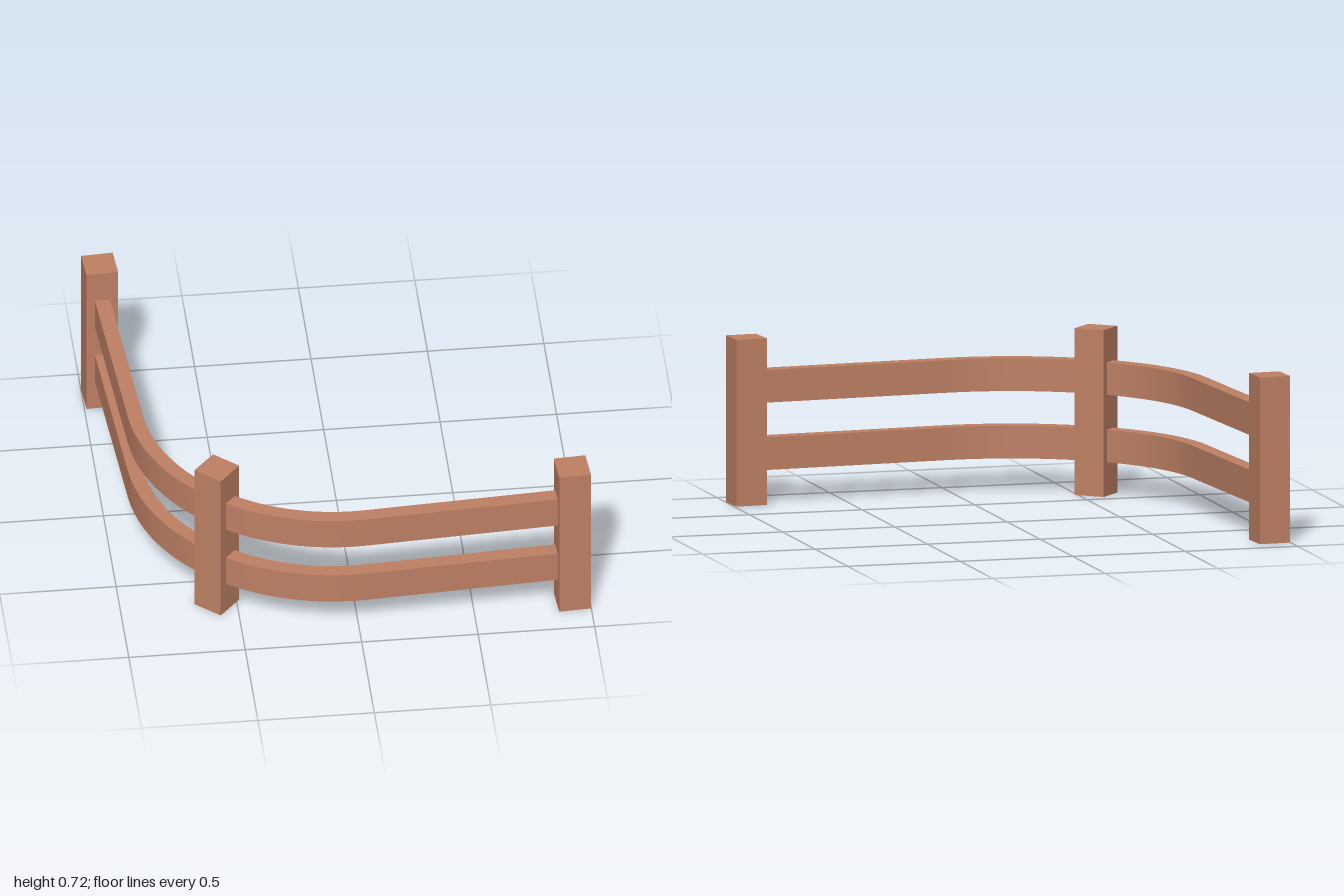
import * as THREE from 'three';
import { toCreasedNormals } from 'three/addons/utils/BufferGeometryUtils.js';

const R = 0.85;       // bend radius at the rail's centre line
const LEG = 0.896;    // straight run from bend to end post
const POST = 0.137, POST_H = 0.72;
const RAIL_W = 0.065, RAIL_H = 0.141;

// Quarter-bend rail with two straight legs, drawn in plan and extruded upward
function railGeometry() {
  const ro = R + RAIL_W / 2, ri = R - RAIL_W / 2;
  const plan = new THREE.Shape();
  plan.moveTo(LEG, -ro);
  plan.lineTo(0, -ro);
  plan.absarc(0, 0, ro, -Math.PI / 2, -Math.PI, true);
  plan.lineTo(-ro, LEG);
  plan.lineTo(-ri, LEG);
  plan.lineTo(-ri, 0);
  plan.absarc(0, 0, ri, -Math.PI, -Math.PI / 2, false);
  plan.lineTo(LEG, -ri);
  plan.closePath();
  const geo = new THREE.ExtrudeGeometry(plan, { depth: RAIL_H, bevelEnabled: false, curveSegments: 12 });
  geo.rotateX(-Math.PI / 2);
  return toCreasedNormals(geo, 0.5);
}

export function createModel() {
  const model = new THREE.Group();
  model.name = 'curvedFence';
  const wood = new THREE.MeshStandardMaterial({ color: 0xbe8064 });
  wood.name = 'wood';

  // The fence is laid out square, then turned slightly
  const fence = new THREE.Group();
  fence.name = 'fence';
  fence.position.set(-0.022, 0, 0.015);
  fence.rotation.y = THREE.MathUtils.degToRad(3.6);
  model.add(fence);

  // Posts at both ends and at the middle of the bend
  const postGeo = new THREE.BoxGeometry(POST, POST_H, POST);
  const d = R * Math.SQRT1_2;
  const posts = [
    ['rightEndPost', -R, -LEG, 0],
    ['middlePost', -d, d, Math.PI / 4],
    ['leftEndPost', LEG, R, 0],
  ];
  for (const [name, x, z, turn] of posts) {
    const post = new THREE.Mesh(postGeo, wood);
    post.name = name;
    post.position.set(x, POST_H / 2, z);
    post.rotation.y = turn;
    fence.add(post);
  }

  // Two identical rails
  const railGeo = railGeometry();
  for (const [name, y] of [['lowerRail', 0.145], ['upperRail', 0.436]]) {
    const rail = new THREE.Mesh(railGeo, wood);
    rail.name = name;
    rail.position.y = y;
    fence.add(rail);
  }
  return model;
}
